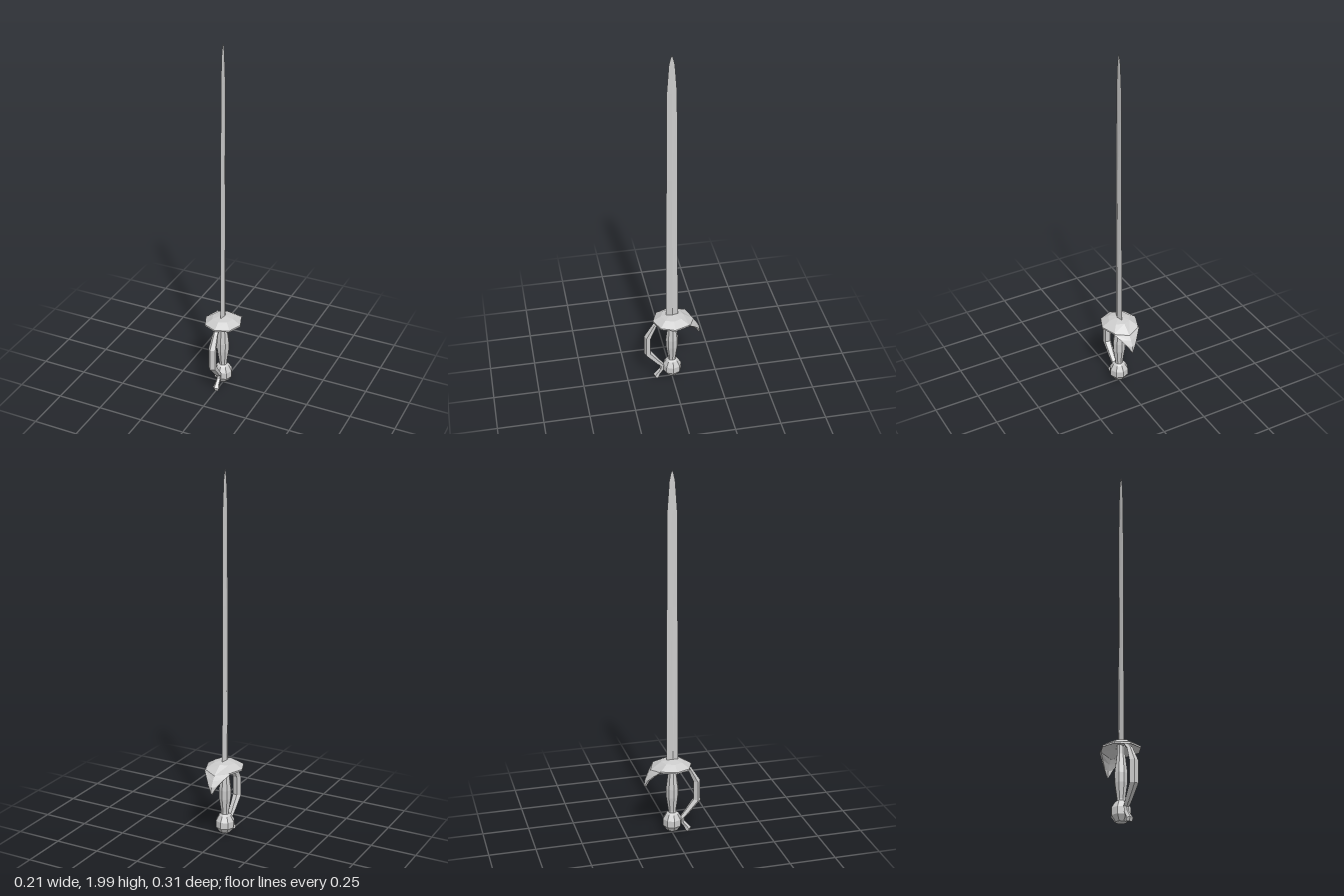
import * as THREE from 'three';

const steel = new THREE.MeshStandardMaterial({ color: 0xcccccc, flatShading: true, side: THREE.DoubleSide });

// Skin a list of equal-length rings of Vector3 and cap both ends.
function loft(rings) {
  const n = rings[0].length, pos = [], idx = [];
  rings.forEach(r => r.forEach(p => pos.push(p.x, p.y, p.z)));
  for (let r = 0; r < rings.length - 1; r++) {
    for (let i = 0; i < n; i++) {
      const a = r * n + i, b = r * n + (i + 1) % n;
      idx.push(a, a + n, b, b, a + n, b + n);
    }
  }
  const last = (rings.length - 1) * n;
  for (let i = 1; i < n - 1; i++) {
    idx.push(0, i, i + 1);
    idx.push(last, last + i + 1, last + i);
  }
  const g = new THREE.BufferGeometry();
  g.setAttribute('position', new THREE.Float32BufferAttribute(pos, 3));
  g.setIndex(idx);
  g.computeVertexNormals();
  return g;
}

const V = (x, y, z) => new THREE.Vector3(x, y, z);

function ellipseRing(n, y, rx, rz) {
  return Array.from({ length: n }, (_, i) => {
    const t = i / n * Math.PI * 2;
    return V(Math.cos(t) * rx, y, Math.sin(t) * rz);
  });
}

export function createModel() {
  const group = new THREE.Group();
  const add = (name, geometry) => {
    const mesh = new THREE.Mesh(geometry, steel);
    mesh.name = name;
    group.add(mesh);
  };

  // Blade: diamond section, [y, half thickness, half width]
  add('blade', loft([
    [0.42, 0.012, 0.033], [1.3, 0.007, 0.029], [1.8, 0.004, 0.026],
    [1.95, 0.003, 0.015], [1.985, 0.002, 0.007], [2.0, 0.0005, 0.001],
  ].map(([y, x, z]) => ellipseRing(4, y, x, z))));

  // Grip and pommel: eight-sided turned profiles
  const turned = pts => new THREE.LatheGeometry(pts.map(([r, y]) => new THREE.Vector2(r, y)), 8);
  add('grip', turned([[0.022, 0.12], [0.022, 0.15], [0.034, 0.23], [0.035, 0.28], [0.022, 0.38], [0.022, 0.43]]));
  add('pommel', turned([[0, 0.028], [0.03, 0.032], [0.052, 0.063], [0.052, 0.1], [0.034, 0.13], [0.02, 0.14]]));

  // Dome guard: hollow octagonal cup whose back corner dips towards the flap
  const domeRing = (y, r, dip) => ellipseRing(8, y, r, r * 1.03).map((p, i) => {
    if (i === 6) { p.z *= 1 + dip; p.y -= dip * 0.12; }
    else if (i === 5 || i === 7) p.z *= 1 + dip * 0.75;
    return p;
  });
  add('guardDome', loft([
    domeRing(0.428, 0.055, 0), domeRing(0.407, 0.095, 0.13),
    domeRing(0.405, 0.103, 0.13), domeRing(0.414, 0.103, 0.13),
    domeRing(0.44, 0.06, 0), domeRing(0.45, 0.012, 0),
  ]));

  // Back flap: thin folded plate curling down to a point
  // [half width, edge y, edge z, ridge y, ridge z]
  add('guardFlap', loft([
    [0.08, 0.413, -0.085, 0.4, -0.12], [0.054, 0.385, -0.113, 0.375, -0.136],
    [0.027, 0.35, -0.14, 0.345, -0.152], [0.004, 0.31, -0.153, 0.31, -0.158],
  ].map(([w, ey, ez, ry, rz]) => [
    V(-w, ey, ez), V(0, ry, rz), V(w, ey, ez),
    V(w * 0.9, ey - 0.006, ez + 0.007), V(0, ry - 0.008, rz + 0.009), V(-w * 0.9, ey - 0.006, ez + 0.007),
  ])));

  // Knuckle bow: five-sided bar along a curved path, [z, y, half width, half depth]
  const path = [
    [0.055, 0.42, 0.014, 0.01], [0.095, 0.385, 0.016, 0.012], [0.135, 0.308, 0.024, 0.02],
    [0.137, 0.195, 0.024, 0.021], [0.078, 0.122, 0.018, 0.015], [0.056, 0.098, 0.015, 0.013],
    [0.058, 0.07, 0.013, 0.013], [0.078, 0.045, 0.014, 0.014], [0.088, 0.03, 0.02, 0.018],
    [0.085, 0.015, 0.016, 0.013],
  ];
  const centre = path.map(([z, y]) => V(0, y, z));
  const side = V(1, 0, 0);
  add('knuckleBow', loft(path.map(([, , w, d], k) => {
    const tangent = centre[Math.min(k + 1, path.length - 1)].clone()
      .sub(centre[Math.max(k - 1, 0)]).normalize();
    const normal = side.clone().cross(tangent);
    return Array.from({ length: 5 }, (_, i) => {
      const t = -Math.PI / 2 - 0.25 + i / 5 * Math.PI * 2;
      return centre[k].clone()
        .addScaledVector(side, Math.cos(t) * w)
        .addScaledVector(normal, Math.sin(t) * d);
    });
  })));

  // Stand the lowest point on the ground
  const box = new THREE.Box3().setFromObject(group);
  group.children.forEach(m => { m.position.y -= box.min.y; });
  return group;
}
